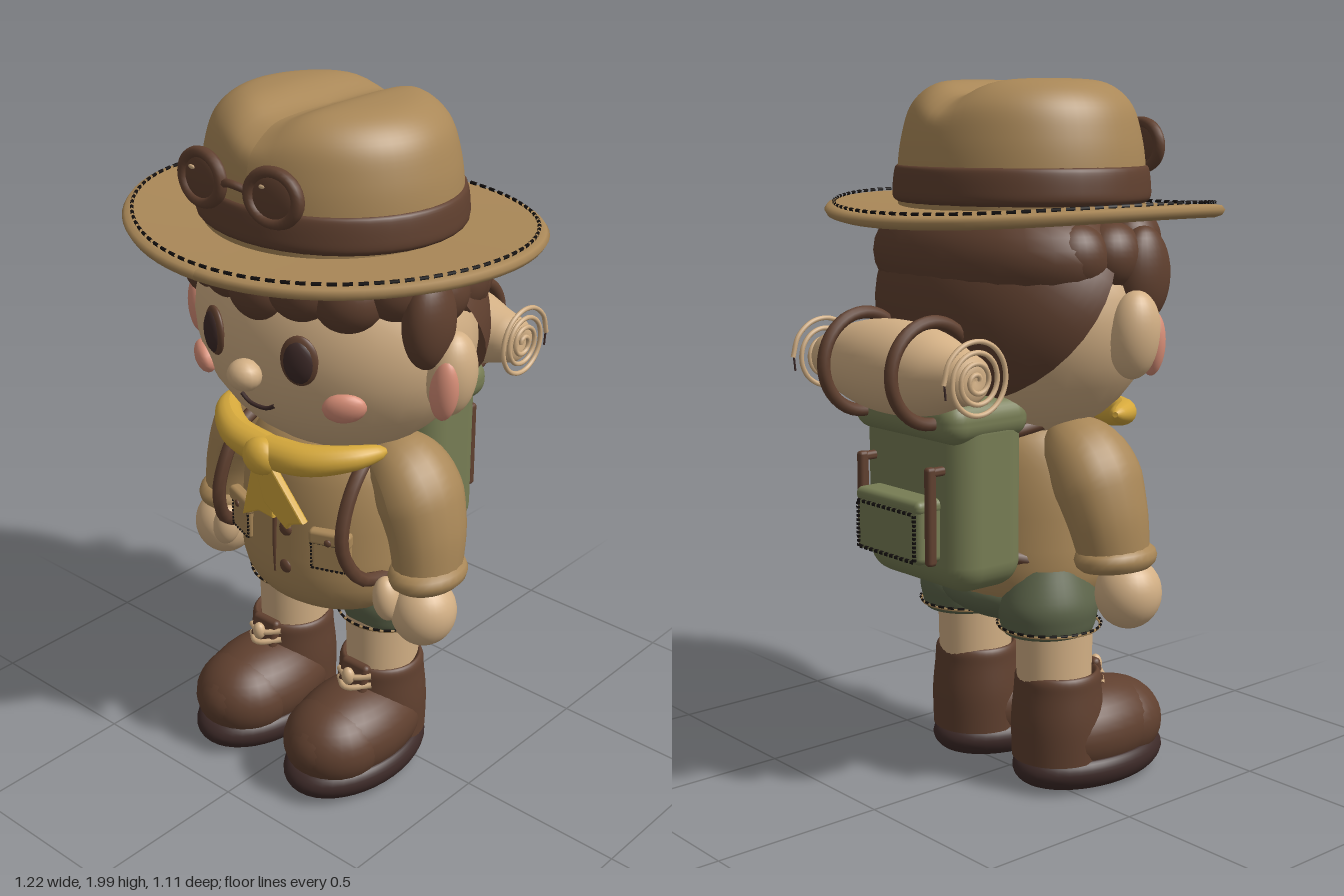
import * as THREE from 'three';
import { mergeGeometries } from 'three/addons/utils/BufferGeometryUtils.js';
import { RoundedBoxGeometry } from 'three/addons/geometries/RoundedBoxGeometry.js';

const material = (name, color, side = THREE.FrontSide) => {
  const m = new THREE.MeshStandardMaterial({ color, side });
  m.name = name;
  return m;
};
const tan = material('tan cloth', 0xaa8858, THREE.DoubleSide);
const skin = material('skin', 0xd3b085);
const brown = material('brown leather', 0x60402f, THREE.DoubleSide);
const dark = material('dark brown', 0x3d2a28);
const green = material('pack green', 0x777d54);
const olive = material('shorts olive', 0x5e664b, THREE.DoubleSide);
const yellow = material('scarf yellow', 0xd6a93c, THREE.DoubleSide);
const pink = material('blush pink', 0xd98f78);
const black = material('stitch black', 0x14100f);

const V = (x, y, z) => new THREE.Vector3(x, y, z);
const P2 = (pts) => pts.map(([x, y]) => new THREE.Vector2(x, y));

export function createModel() {
  const model = new THREE.Group();
  model.name = 'explorer';

  const add = (name, geo, mat, pos = [0, 0, 0], rot = [0, 0, 0], scale = [1, 1, 1]) => {
    const m = new THREE.Mesh(geo, mat);
    m.name = name;
    m.position.set(...pos);
    m.rotation.set(...rot);
    m.scale.set(...scale);
    model.add(m);
  };
  const ball = (name, mat, pos, radii, rot) => {
    const big = Math.max(...radii) > 0.06;
    add(name, new THREE.SphereGeometry(1, big ? 28 : 16, big ? 18 : 10), mat, pos, rot, radii);
  };
  const tube = (name, mat, pts, r) =>
    add(name, new THREE.TubeGeometry(new THREE.CatmullRomCurve3(pts), pts.length * 4, r, 7), mat);
  const lathe = (name, mat, pts, pos, scale, rot) =>
    add(name, new THREE.LatheGeometry(new THREE.SplineCurve(P2(pts)).getPoints(24), 40), mat, pos, rot, scale);
  // tube whose radius follows f(u), stretched in y and z
  const taper = (name, mat, pts, f, sy, sz) => {
    const curve = new THREE.CatmullRomCurve3(pts), seg = 24, rad = 18;
    const g = new THREE.TubeGeometry(curve, seg, 1, rad);
    const p = g.attributes.position, v = new THREE.Vector3();
    for (let i = 0; i < p.count; i++) {
      const u = Math.floor(i / (rad + 1)) / seg, c = curve.getPointAt(u);
      v.fromBufferAttribute(p, i).sub(c).multiplyScalar(f(u)).multiply(V(1, sy, sz)).add(c);
      p.setXYZ(i, v.x, v.y, v.z);
    }
    g.computeVertexNormals();
    add(name, g, mat);
  };
  // dashed thread along a path at(t), t in 0..1
  const dashes = (name, at, n, r) => {
    const parts = [];
    for (let i = 0; i < n; i++)
      parts.push(new THREE.TubeGeometry(new THREE.LineCurve3(at(i / n), at((i + 0.66) / n)), 1, r, 5));
    add(name, mergeGeometries(parts), black);
  };
  const rectPath = (cx, cy, w, h, zAt) => (t) => {
    const k = (t % 1) * 4, s = Math.floor(k), f = k - s - 0.5;
    const [x, y] = [[f, -0.5], [0.5, f], [-f, 0.5], [-0.5, -f]][s];
    return V(cx + x * w, cy + y * h, zAt(x * w));
  };

  // Hat: curved brim, pinched crown, band
  const brimLift = (x, z) => 0.022 * (x / 0.61) ** 2 - 0.012 * (z / 0.515) ** 2;
  const brim = new THREE.LatheGeometry(P2([[0, -0.022], [0.6, -0.022], [0.95, -0.02], [0.985, -0.014], [1, 0],
    [0.985, 0.012], [0.95, 0.016], [0.6, 0.018], [0, 0.022]]), 72);
  brim.scale(0.61, 1, 0.515);
  const bp = brim.attributes.position;
  for (let i = 0; i < bp.count; i++) bp.setY(i, bp.getY(i) + brimLift(bp.getX(i), bp.getZ(i)));
  brim.computeVertexNormals();
  add('hatBrim', brim, tan, [0, 1.637, 0.04]);
  dashes('brimStitching', (t) => {
    const a = t * Math.PI * 2, x = 0.58 * Math.sin(a), z = 0.49 * Math.cos(a);
    return V(x, 1.658 + brimLift(x, z), z + 0.04);
  }, 90, 0.005);
  const crown = new THREE.LatheGeometry(new THREE.SplineCurve(P2([[0.365, 1.65], [0.367, 1.74], [0.354, 1.84],
    [0.322, 1.93], [0.25, 1.985], [0.14, 1.998], [0, 1.998]])).getPoints(36), 64);
  crown.scale(1, 1, 0.9);
  const cp = crown.attributes.position;
  for (let i = 0; i < cp.count; i++) {
    const x = cp.getX(i), y = cp.getY(i), top = THREE.MathUtils.smoothstep(y, 1.85, 1.98);
    cp.setY(i, y - 0.04 * top * Math.exp(-((x / 0.075) ** 2)));
  }
  crown.computeVertexNormals();
  add('hatCrown', crown, tan, [0, 0, 0.04]);
  lathe('hatBand', brown, [[0.36, 1.66], [0.381, 1.675], [0.382, 1.71], [0.375, 1.755], [0.36, 1.765]], [0, 0, 0.04], [1, 1, 0.9]);

  // Goggles resting on the band
  for (const s of [-1, 1]) {
    const pos = [0.125 * s, 1.815, 0.393], rot = [-0.05, 0.1 * s, 0];
    add('goggleRim', new THREE.TorusGeometry(0.072, 0.017, 10, 32), brown, pos, rot, [1.05, 0.9, 1]);
    ball('goggleLens', brown, pos, [0.07, 0.062, 0.014], rot);
    ball('lensGlint', skin, [0.125 * s - 0.026, 1.84, 0.404], [0.012, 0.006, 0.004], rot);
  }
  tube('goggleBridge', brown, [V(-0.05, 1.815, 0.395), V(0, 1.83, 0.415), V(0.05, 1.815, 0.395)], 0.011);

  // Head and face
  ball('head', skin, [0, 1.36, 0.03], [0.43, 0.36, 0.335]);
  ball('nose', skin, [0, 1.3, 0.385], [0.05, 0.044, 0.045]);
  tube('mouth', dark, [V(-0.062, 1.212, 0.335), V(-0.03, 1.195, 0.336), V(0.03, 1.195, 0.336), V(0.062, 1.212, 0.335)], 0.006);
  for (const s of [-1, 1]) {
    const rot = [0, 0.36 * s, 0];
    ball('eyeRim', brown, [0.155 * s, 1.37, 0.338], [0.054, 0.07, 0.018], rot);
    ball('eye', dark, [0.157 * s, 1.368, 0.343], [0.044, 0.06, 0.021], rot);
    ball('cheek', pink, [0.258 * s, 1.247, 0.28], [0.06, 0.044, 0.03], [0.25, 0.6 * s, 0]);
    ball('ear', skin, [0.435 * s, 1.325, 0.06], [0.066, 0.12, 0.075], [0, 0, -0.08 * s]);
    ball('innerEar', pink, [0.452 * s, 1.3, 0.11], [0.04, 0.088, 0.034], [0, 0.2 * s, -0.08 * s]);
    ball('sideburn', brown, [0.405 * s, 1.48, 0.12], [0.06, 0.13, 0.085]);
  }

  // Hair: cap from crown to nape, fuller upper back, fringe of round locks
  const cap = new THREE.SphereGeometry(1, 40, 20, 0, Math.PI * 2, 0, 1.38);
  cap.rotateX(-0.98);
  add('hairBack', cap, brown, [0, 1.38, 0], [0, 0, 0], [0.448, 0.365, 0.335]);
  ball('hairUpperBack', brown, [0, 1.52, -0.06], [0.425, 0.2, 0.272]);
  [[0, 1.53], [0.36, 1.555], [0.72, 1.535], [1.1, 1.565], [1.5, 1.53], [1.9, 1.53]].forEach(([a, y]) => {
    for (const s of a ? [-1, 1] : [1])
      ball('hairLock', brown, [0.365 * s * Math.sin(a), y, 0.02 + 0.295 * Math.cos(a)], [0.095, 0.092, 0.08], [0, a * s, 0]);
  });

  // Shirt with placket and buttons
  lathe('shirt', tan, [[0, 0.495], [0.13, 0.505], [0.24, 0.55], [0.285, 0.63], [0.284, 0.76], [0.272, 0.9],
    [0.23, 1.02], [0.12, 1.09], [0, 1.1]], [0, 0, 0.04], [1, 1, 0.82]);
  tube('placket', brown, [V(-0.01, 0.65, 0.27), V(-0.01, 0.76, 0.273), V(-0.01, 0.86, 0.268)], 0.007);
  for (const y of [0.68, 0.8, 0.91]) ball('button', brown, [0.03, y, 0.27], [0.022, 0.022, 0.013]);
  const tails = { '-1': [[0.02, 0], [-0.03, 0], [-0.09, -0.2], [-0.03, -0.165], [0.02, -0.17]],
    1: [[-0.02, 0], [0.035, 0], [0.145, -0.14], [0.095, -0.16], [0.085, -0.175], [0.01, -0.12]] };
  for (const s of [-1, 1]) {
    // Chest pockets
    const rot = [0, 0.36 * s, 0];
    add('shirtPocket', new RoundedBoxGeometry(0.115, 0.11, 0.03, 2, 0.012), tan, [0.17 * s, 0.757, 0.232], rot);
    add('pocketFlap', new RoundedBoxGeometry(0.125, 0.045, 0.036, 2, 0.012), tan, [0.17 * s, 0.808, 0.237], rot);
    ball('pocketButton', brown, [0.175 * s, 0.8, 0.256], [0.011, 0.011, 0.006], rot);
    dashes('pocketStitching', rectPath(0.17 * s, 0.75, 0.095, 0.08, (x) => 0.249 - 0.37 * s * x), 28, 0.0035);

    // Pack straps
    tube('shoulderStrap', brown, [V(0.17 * s, 1.05, -0.14), V(0.2 * s, 1.07, 0.04), V(0.225 * s, 1.01, 0.18),
      V(0.232 * s, 0.9, 0.25), V(0.24 * s, 0.8, 0.265), V(0.26 * s, 0.7, 0.21), V(0.25 * s, 0.67, 0), V(0.18 * s, 0.7, -0.14)], 0.02);

    // Arms
    taper('sleeve', tan, [V(0.16 * s, 1.045, 0.03), V(0.29 * s, 0.965, 0.035), V(0.35 * s, 0.84, 0.043), V(0.375 * s, 0.69, 0.06)],
      (u) => (u < 0.5 ? 0.113 * Math.sqrt(1 - (1 - 2 * u) ** 2) : 0.113 - 0.05 * (u - 0.5)), 1, 1.18);
    add('cuff', new THREE.TorusGeometry(0.068, 0.035, 12, 28), tan, [0.374 * s, 0.705, 0.06], [Math.PI / 2, 0.06 * s, 0], [1, 1.22, 1]);
    ball('hand', skin, [0.39 * s, 0.6, 0.095], [0.092, 0.1, 0.095]);
    ball('thumb', skin, [0.315 * s, 0.64, 0.165], [0.04, 0.066, 0.042], [0, 0, 0.15 * s]);

    // Shorts and legs
    lathe('shortsLeg', olive, [[0.1, 0.472], [0.118, 0.467], [0.13, 0.5], [0.134, 0.56], [0.1, 0.66]], [0.175 * s, 0, -0.01], [1, 1, 1.1]);
    add('hemRing', new THREE.TorusGeometry(0.145, 0.004, 6, 40), tan, [0.175 * s, 0.482, -0.005], [Math.PI / 2, 0, 0]);
    dashes('hemStitching', (t) => V(0.175 * s + 0.148 * Math.sin(t * 6.2832), 0.487, -0.005 + 0.148 * Math.cos(t * 6.2832)), 30, 0.004);
    add('leg', new THREE.CylinderGeometry(0.105, 0.1, 0.3, 32), skin, [0.175 * s, 0.42, 0.015], [0, 0, 0], [1, 1, 1.12]);

    // Boots
    lathe('bootSole', dark, [[0, 0.003], [0.6, 0.003], [0.88, 0.018], [1, 0.055], [0.94, 0.09], [0.75, 0.1], [0, 0.1]], [0.182 * s, 0, 0.145], [0.163, 1, 0.258]);
    ball('bootFoot', brown, [0.182 * s, 0.15, 0.145], [0.157, 0.138, 0.25]);
    ball('bootToe', brown, [0.182 * s, 0.145, 0.235], [0.148, 0.128, 0.155]);
    lathe('bootShaft', brown, [[0.132, 0.09], [0.134, 0.2], [0.126, 0.29], [0.123, 0.33], [0.112, 0.345], [0.098, 0.33]], [0.18 * s, 0, 0.025]);
    add('bootTongue', new RoundedBoxGeometry(0.1, 0.12, 0.03, 2, 0.014), brown, [0.18 * s, 0.3, 0.15], [-0.25, 0, 0]);
    for (const y of [0.29, 0.32])
      tube('lace', skin, [V(0.18 * s - 0.06, y - 0.008, 0.145), V(0.18 * s, y, 0.185 - (y - 0.29) * 0.4), V(0.18 * s + 0.06, y + 0.012, 0.14)], 0.009);
    ball('laceKnot', skin, [0.18 * s, 0.325, 0.175], [0.02, 0.028, 0.018]);

    // Scarf sides and tails
    taper('scarfSide', yellow, [V(0, 1.045, 0.305), V(0.13 * s, 1.055, 0.29), V(0.23 * s, 1.07, 0.225), V(0.285 * s, 1.08, 0.14)],
      (u) => 0.008 + 0.042 * Math.sqrt(1 - u * u), 0.95, 1);
    add('scarfTail', new THREE.ExtrudeGeometry(new THREE.Shape(P2(tails[s])), { depth: 0.012, bevelSize: 0.006, bevelThickness: 0.006, bevelSegments: 2 }),
      yellow, [0, 1.025, 0.316 + 0.006 * s], [0.06, 0, 0]);
  }
  ball('hips', olive, [0, 0.56, 0], [0.24, 0.09, 0.18]);
  ball('scarfKnot', yellow, [0, 1.04, 0.33], [0.058, 0.054, 0.045]);

  // Backpack
  add('packBody', new RoundedBoxGeometry(0.45, 0.52, 0.25, 4, 0.08), green, [0, 0.885, -0.245]);
  add('packLid', new RoundedBoxGeometry(0.46, 0.12, 0.29, 4, 0.055), green, [0, 1.1, -0.255]);
  add('packPocket', new RoundedBoxGeometry(0.28, 0.17, 0.1, 3, 0.02), green, [0, 0.8, -0.395]);
  add('packPocketFlap', new RoundedBoxGeometry(0.285, 0.04, 0.105, 3, 0.018), green, [0, 0.872, -0.394]);
  dashes('packStitching', rectPath(0, 0.79, 0.25, 0.13, () => -0.446), 44, 0.006);
  for (const s of [-1, 1]) {
    add('packStrap', new RoundedBoxGeometry(0.026, 0.27, 0.03, 2, 0.01), brown, [0.15 * s, 0.85, -0.41]);
    add('packStrapTab', new RoundedBoxGeometry(0.026, 0.025, 0.06, 2, 0.01), brown, [0.15 * s, 0.97, -0.39]);
    add('lidTab', new RoundedBoxGeometry(0.04, 0.03, 0.08, 2, 0.01), brown, [0.17 * s, 1.08, -0.14]);
  }

  // Bedroll with straps and coiled ends
  lathe('bedroll', skin, [[0, -0.325], [0.055, -0.325], [0.08, -0.25], [0.108, -0.17], [0.124, -0.08], [0.128, 0], [0.124, 0.08],
    [0.108, 0.17], [0.08, 0.25], [0.055, 0.325], [0, 0.325]], [0, 1.235, -0.4], [1, 1, 1], [0, 0, Math.PI / 2]);
  for (const s of [-1, 1]) {
    add('bedrollStrap', new THREE.TorusGeometry(0.135, 0.018, 10, 40), brown, [0.15 * s, 1.235, -0.4], [0, Math.PI / 2, 0]);
    for (const [name, mat, phase, r] of [['coil', skin, 0, 0.007], ['coilShadowLine', dark, 0.35, 0.003]]) {
      const pts = [];
      for (let i = 0; i <= 40; i++) {
        const a = (i / 40) * Math.PI * 7 + phase, d = 0.01 + 0.1 * (i / 40);
        pts.push(V(0.334 * s, 1.235 + d * Math.sin(a), -0.4 + d * Math.cos(a)));
      }
      tube(name, mat, pts, r);
    }
  }
  return model;
}
